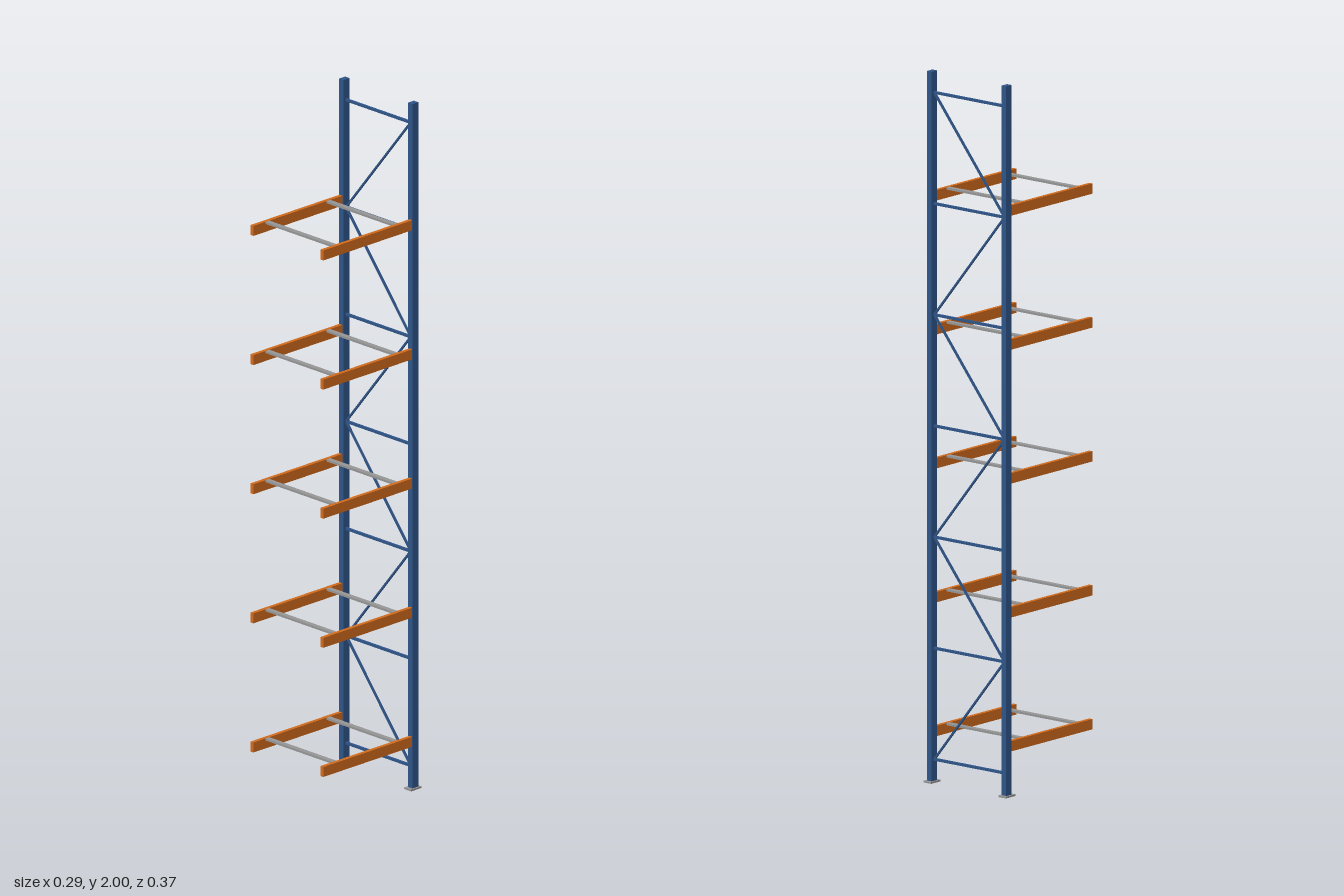
import * as THREE from 'three';

export function createModel() {
  const root = new THREE.Group();
  root.name = 'storageRackFrame';

  const mat = (name, color) => {
    const m = new THREE.MeshStandardMaterial({ color });
    m.name = name;
    return m;
  };
  const blue = mat('uprightBlue', 0x2f5488);
  const orange = mat('beamOrange', 0xd06a1c);
  const grey = mat('galvanisedGrey', 0x949494);

  const box = (name, material, size, pos) => {
    const mesh = new THREE.Mesh(new THREE.BoxGeometry(...size), material);
    mesh.name = name;
    mesh.position.set(...pos);
    root.add(mesh);
    return mesh;
  };

  const postX = 0.134, postZ = -0.168, plateH = 0.005;

  // Uprights on foot plates
  for (const s of [-1, 1]) {
    const side = s > 0 ? 'left' : 'right';
    box(side + 'Upright', blue, [0.017, 2 - plateH, 0.023], [s * postX, 1 + plateH / 2, postZ]);
    box(side + 'FootPlate', grey, [0.027, plateH, 0.04], [s * postX, plateH / 2, postZ + 0.001]);
  }

  // Horizontal braces with zigzag diagonals between them
  const braceY = (i) => 0.065 + i * 0.3125;
  const braceEnd = 0.126;
  for (let i = 0; i < 7; i++) {
    box('horizontalBrace', blue, [braceEnd * 2, 0.007, 0.007], [0, braceY(i), postZ + 0.001]);
    if (i === 6) continue;
    const dir = i % 2 === 0 ? -1 : 1;
    const dx = dir * braceEnd * 2, dy = braceY(i + 1) - braceY(i);
    const diagonal = box('diagonalBrace', blue, [0.005, Math.hypot(dx, dy), 0.006],
      [0, (braceY(i) + braceY(i + 1)) / 2, postZ + 0.001]);
    diagonal.rotation.z = -Math.atan2(dx, dy);
  }

  // Five shelf levels: two forward arms joined by two flat cross bars
  for (let i = 0; i < 5; i++) {
    const y = 0.141 + i * 0.3765;
    for (const s of [-1, 1]) {
      box(s > 0 ? 'leftArm' : 'rightArm', orange, [0.0115, 0.029, 0.342], [s * 0.1362, y, 0.014]);
    }
    for (const z of [-0.103, 0.131]) {
      box('crossBar', grey, [0.261, 0.006, 0.015], [0, y + 0.0115, z]);
    }
  }

  return root;
}
